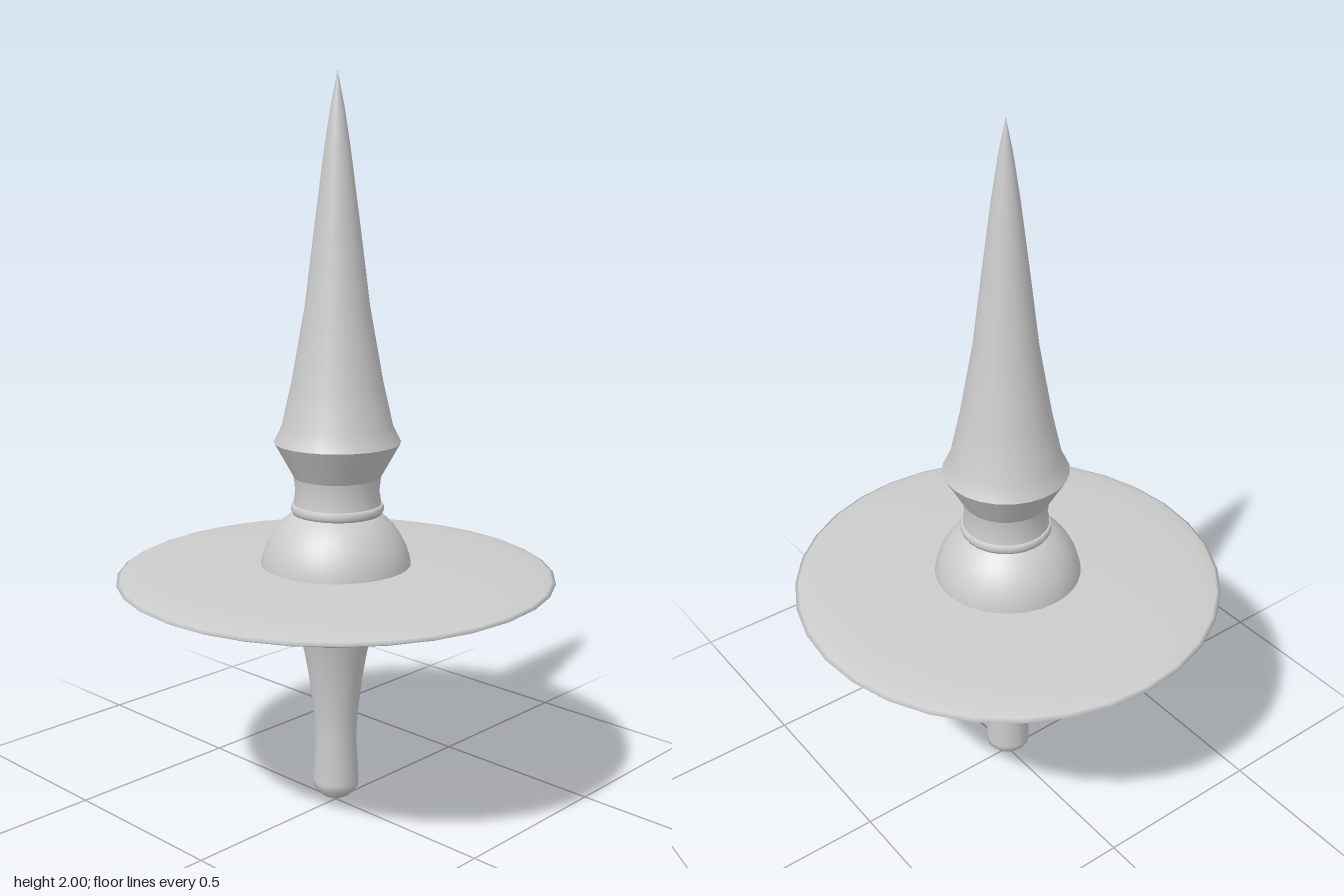
import * as THREE from 'three';

const material = new THREE.MeshStandardMaterial({ color: 0xcccccc, side: THREE.DoubleSide });

export function createModel() {
  const model = new THREE.Group();
  model.name = 'spindleTop';

  const add = (parent, name, geometry, y = 0) => {
    const mesh = new THREE.Mesh(geometry, material);
    mesh.name = name;
    mesh.position.y = y;
    parent.add(mesh);
    return mesh;
  };
  // Profile points run from bottom to top as [radius, height]
  const lathe = (points, sides = 24) =>
    new THREE.LatheGeometry(points.map(([r, y]) => new THREE.Vector2(r, y)), sides);

  // Lower stem with a pointed foot
  add(model, 'stem', lathe([
    [0, 0.005], [0.04, 0.026], [0.062, 0.05], [0.064, 0.07], [0.057, 0.2],
    [0.063, 0.28], [0.074, 0.37], [0.086, 0.44], [0.098, 0.49],
  ]));

  // Central ball and the lens-shaped disc around it
  add(model, 'ball', new THREE.SphereGeometry(0.207, 32, 24), 0.67);
  add(model, 'disc', new THREE.SphereGeometry(0.595, 32, 16), 0.67).scale.y = 0.054;

  // Upper part; separate lathes keep the edges between them sharp
  const upper = new THREE.Group();
  upper.name = 'upperSpindle';
  upper.position.x = 0.006;
  model.add(upper);
  add(upper, 'collar', lathe([
    [0.1, 0.838], [0.122, 0.84], [0.126, 0.848], [0.126, 0.858], [0.122, 0.866], [0.1, 0.868],
  ]));
  add(upper, 'neck', lathe([[0.12, 0.86], [0.114, 0.9], [0.118, 0.94]]));
  add(upper, 'flare', lathe([[0.118, 0.94], [0.171, 1.035]]));
  add(upper, 'spire', lathe([
    [0.171, 1.035], [0.149, 1.08], [0.122, 1.2], [0.086, 1.4],
    [0.061, 1.6], [0.035, 1.8], [0.018, 1.91], [0, 2],
  ]));

  return model;
}
